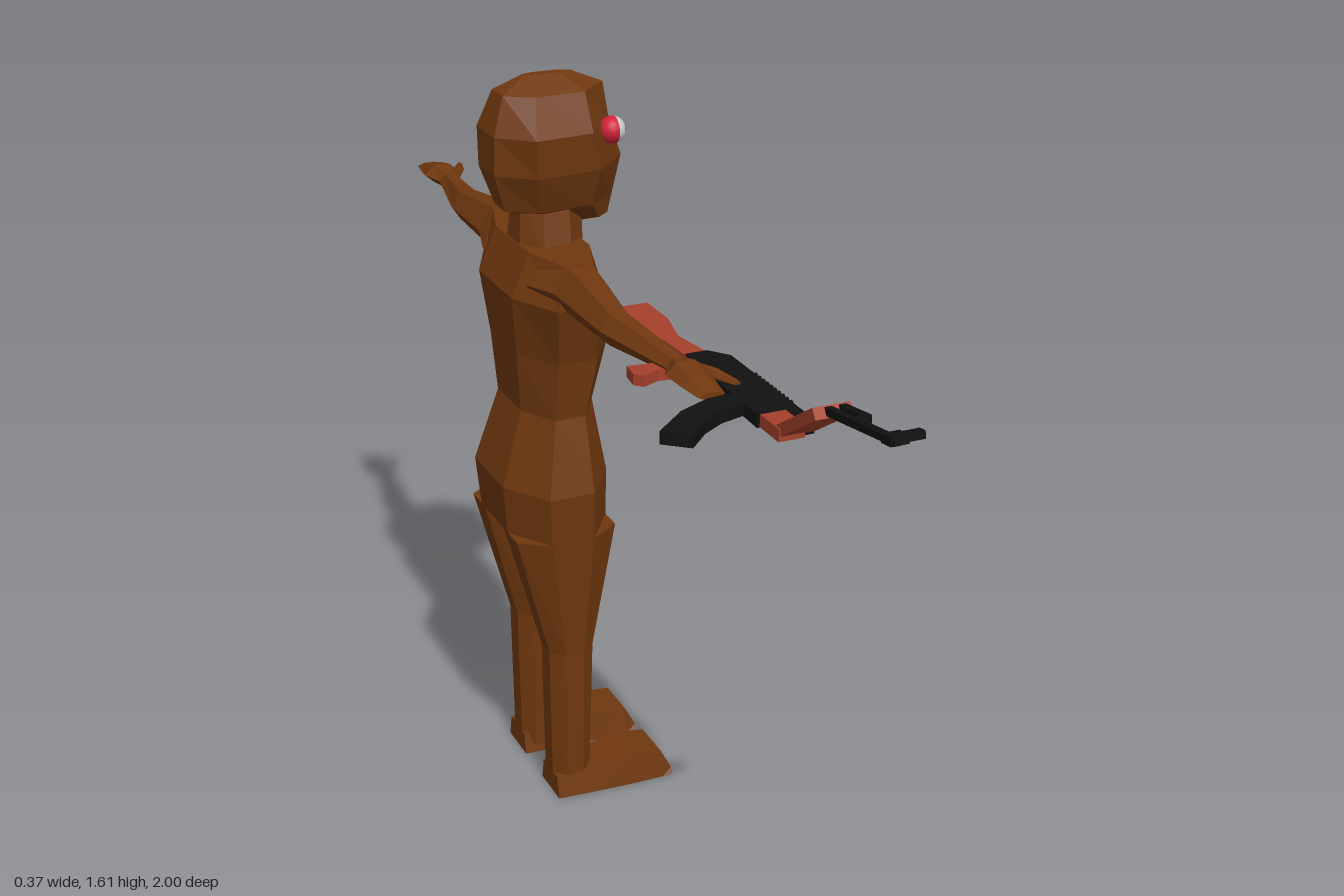
import * as THREE from 'three';

const mat = (color, flatShading = true) =>
  new THREE.MeshStandardMaterial({ color, flatShading, side: THREE.DoubleSide });
const skin = mat(0x70380f), wood = mat(0xa5402c), black = mat(0x111111);
const white = mat(0xe0e0e0, false), red = mat(0xd02038, false), pupil = mat(0x080808, false);
const CZ = -0.25; // body centre line

function add(parent, name, geometry, material) {
  const mesh = new THREE.Mesh(geometry, material);
  mesh.name = name;
  parent.add(mesh);
  return mesh;
}

// Skin a list of equal-length rings, cap both ends, and face it outwards
function loft(rings) {
  const tris = [], n = rings[0].length;
  for (let i = 0; i < rings.length - 1; i++)
    for (let j = 0; j < n; j++) {
      const k = (j + 1) % n, [a, b] = [rings[i], rings[i + 1]];
      tris.push([a[j], a[k], b[k]], [a[j], b[k], b[j]]);
    }
  const last = rings[rings.length - 1];
  for (let j = 1; j < n - 1; j++) {
    tris.push([rings[0][0], rings[0][j + 1], rings[0][j]]);
    tris.push([last[0], last[j], last[j + 1]]);
  }
  const volume = tris.reduce((v, [a, b, c]) => v + a.dot(b.clone().cross(c)), 0);
  if (volume < 0) tris.forEach((t) => t.reverse());
  const g = new THREE.BufferGeometry().setFromPoints(tris.flat());
  g.computeVertexNormals();
  return g;
}

const V = (x, y, z) => new THREE.Vector3(x, y, z);

// Horizontal eight-sided ring: height, back, front, centre z, half width
function bodyRing(y, xb, xf, zc, hw) {
  const d = xf - xb;
  return [[0, -0.45], [0.28, -1], [0.7, -1], [1, -0.45], [1, 0.45], [0.7, 1], [0.28, 1], [0, 0.45]]
    .map(([u, w]) => V(xb + u * d, y, zc + w * hw));
}

// Head ring with a ridge down the face
function headRing([y, xb, xf, hw]) {
  const d = xf - xb;
  return [[0, -0.45], [0.25, -1], [0.72, -0.9], [1, 0], [0.72, 0.9], [0.25, 1], [0, 0.45]]
    .map(([u, w]) => V(xb + u * d, y, CZ + w * hw));
}

// Hexagonal ring across an arm: z, x range, y range
function armRing([z, x0, x1, y0, y1], s) {
  const d = x1 - x0, m = (y0 + y1) / 2;
  return [[0, m], [0.28, y1], [0.72, y1], [1, m], [0.72, y0], [0.28, y0]]
    .map(([u, y]) => V(x0 + u * d, y, CZ + s * z));
}

// Flat plate outlined in (x, z), its top at height y
function plate(points, y, thick) {
  const shape = new THREE.Shape(points.map(([x, z]) => new THREE.Vector2(x, z)));
  return new THREE.ExtrudeGeometry(shape, { depth: thick, bevelEnabled: false })
    .rotateX(Math.PI / 2).translate(0, y, 0);
}

function buildBody(root) {
  const body = new THREE.Group();
  body.name = 'body';
  root.add(body);
  add(body, 'torso', loft([
    [0.65, -0.175, 0.05, 0.175], [0.76, -0.185, 0.05, 0.185], [0.92, -0.135, 0.025, 0.145],
    [1.05, -0.145, 0.055, 0.165], [1.18, -0.16, 0.038, 0.205], [1.27, -0.12, 0.01, 0.205],
  ].map(([y, b, f, hw]) => bodyRing(y, b, f, CZ, hw))), skin);
  add(body, 'neck', loft([
    bodyRing(1.25, -0.12, 0.02, CZ, 0.08), bodyRing(1.36, -0.11, 0.02, CZ, 0.055),
  ]), skin);
  add(body, 'head', loft([
    [1.3, -0.01, 0.09, 0.025], [1.34, -0.145, 0.1, 0.065], [1.42, -0.172, 0.12, 0.098],
    [1.5, -0.172, 0.093, 0.108], [1.575, -0.145, 0.08, 0.065], [1.605, -0.09, 0.01, 0.012],
  ].map(headRing)), skin);

  for (const s of [-1, 1]) {
    const side = s < 0 ? 'left' : 'right';
    // Legs and feet
    add(body, side + 'Leg', loft([
      [0.02, -0.095, -0.007, 0.094, 0.048], [0.36, -0.1, 0.002, 0.094, 0.05],
      [0.65, -0.175, 0.05, 0.094, 0.081],
    ].map(([y, b, f, zo, hw]) => bodyRing(y, b, f, CZ + s * zo, hw))), skin);
    add(body, side + 'Foot', loft([
      [-0.095, 0.05, 0.05], [-0.02, 0.055, 0.056], [0.08, 0.07, 0.062],
      [0.155, 0.06, 0.063], [0.18, 0.012, 0.063],
    ].map(([x, top, hw]) => {
      const z = CZ + s * 0.1;
      return [V(x, 0, z - hw), V(x, 0, z + hw), V(x, top, z + hw * 0.8), V(x, top, z - hw * 0.8)];
    })), skin);
    // Arms, hands and thumbs
    add(body, side + 'Arm', loft([
      [0.12, -0.14, 0.02, 1.16, 1.27], [0.21, -0.115, 0.0, 1.175, 1.27],
      [0.41, -0.105, -0.03, 1.183, 1.246], [0.615, -0.06, -0.012, 1.193, 1.224],
    ].map((r) => armRing(r, s))), skin);
    add(body, side + 'Hand', loft([
      [0.605, -0.06, -0.012, 1.193, 1.224], [0.65, -0.083, 0.0, 1.195, 1.235],
      [0.7, -0.075, -0.006, 1.195, 1.225], [0.75, -0.065, -0.012, 1.2, 1.212],
    ].map((r) => armRing(r, s))), skin);
    add(body, side + 'Thumb', loft([
      [0.625, -0.04, -0.005, 1.196, 1.222], [0.67, -0.01, 0.02, 1.198, 1.22],
      [0.72, 0.02, 0.034, 1.2, 1.212],
    ].map((r) => armRing(r, s))), skin);

    // Eyes: red shell behind, white in front, dark pupil
    const eye = new THREE.Group();
    eye.name = side + 'Eye';
    eye.position.set(0.08, 1.487, CZ + s * 0.046);
    const half = (start, len) => new THREE.SphereGeometry(0.028, 20, 10, 0, Math.PI * 2, start, len)
      .rotateZ(-Math.PI / 2);
    add(eye, 'eyeFront', half(0, 1.35), white);
    add(eye, 'eyeBack', half(1.35, Math.PI - 1.35), red);
    add(eye, 'pupil', new THREE.SphereGeometry(0.007, 10, 8).scale(0.4, 1, 1).translate(0.027, 0, 0), pupil);
    body.add(eye);
  }
}

function buildRifle(root) {
  const rifle = new THREE.Group();
  rifle.name = 'rifle';
  root.add(rifle);
  add(rifle, 'stock', plate([
    [-0.035, 0.025], [0.055, 0.025], [0.055, 0.12], [0.035, 0.21], [0.05, 0.31],
    [0.005, 0.31], [0.0, 0.22], [-0.035, 0.1],
  ], 1.202, 0.02), wood);
  add(rifle, 'receiver', plate([
    [0.005, 0.3], [0.05, 0.3], [0.08, 0.34], [0.08, 0.66], [0.055, 0.66], [0.055, 0.6], [0.0, 0.6],
  ], 1.204, 0.026), black);
  for (let i = 0; i < 10; i++)
    add(rifle, 'receiverRib', new THREE.BoxGeometry(0.008, 0.02, 0.007)
      .translate(0.083, 1.191, 0.43 + i * 0.015), black);
  add(rifle, 'grip', plate([
    [0.01, 0.32], [0.01, 0.36], [-0.07, 0.345], [-0.105, 0.36], [-0.12, 0.345],
    [-0.115, 0.305], [-0.08, 0.31],
  ], 1.202, 0.022), wood);
  add(rifle, 'magazine', plate([
    [0.01, 0.5], [-0.05, 0.505], [-0.115, 0.535], [-0.185, 0.597], [-0.14, 0.635],
    [-0.095, 0.59], [-0.05, 0.562], [0.01, 0.545],
  ], 1.205, 0.025), black);
  add(rifle, 'lowerHandguard', plate([[0.005, 0.6], [0.056, 0.6], [0.056, 0.67], [0.005, 0.67]],
    1.203, 0.024), wood);

  // Front half bends upward in two steps
  const bend = (name, y, z, angle) => {
    const g = new THREE.Group();
    g.name = name;
    g.position.set(0, y, z);
    g.rotation.x = -angle;
    rifle.add(g);
    return g;
  };
  const guard = bend('handguard', 1.192, 0.655, 0.588);
  add(guard, 'guardPlate', plate([[0.008, 0], [0.08, 0], [0.08, 0.15], [0.008, 0.15]], 0.011, 0.022), wood);
  const muzzle = bend('muzzle', 1.275, 0.775, 0.155);
  const bar = (name, x, z, w, len, t = 0.014) =>
    add(muzzle, name, new THREE.BoxGeometry(w, t, len).translate(x, 0, z + len / 2), black);
  bar('barrel', 0.037, 0, 0.014, 0.222);
  bar('gasTube', 0.064, 0, 0.014, 0.085);
  add(muzzle, 'gasBlock', plate([[0.03, 0.085], [0.03, 0.105], [0.05, 0.105], [0.071, 0.085], [0.058, 0.075]],
    0.007, 0.014), black);
  bar('frontSightBase', 0.044, 0.188, 0.034, 0.03, 0.016);
  bar('frontSight', 0.075, 0.194, 0.038, 0.018);
}

export function createModel() {
  const root = new THREE.Group();
  root.name = 'figureWithRifle';
  buildBody(root);
  buildRifle(root);
  return root;
}
